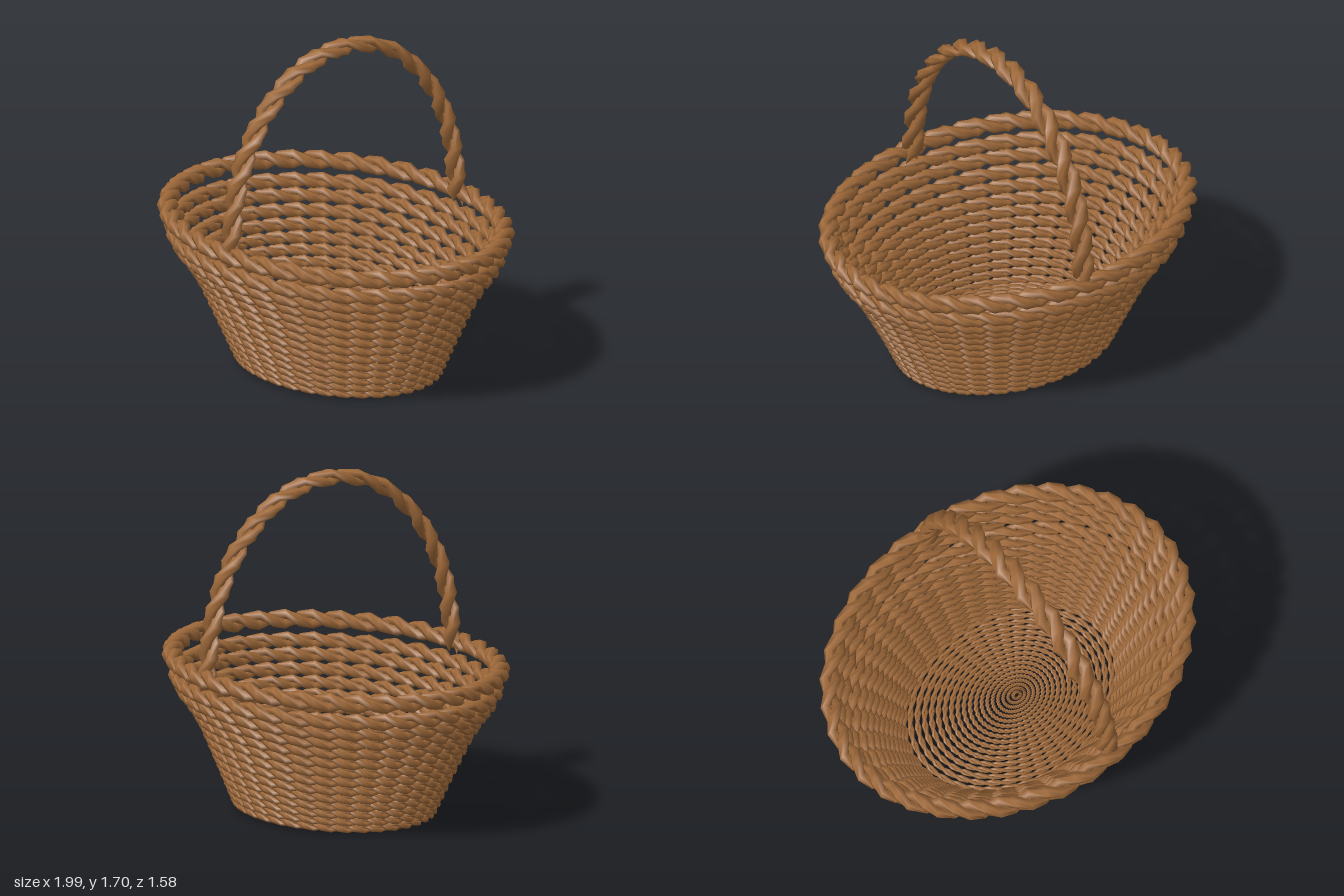
import * as THREE from 'three';
import { mergeGeometries } from 'three/addons/utils/BufferGeometryUtils.js';

const wicker = new THREE.MeshStandardMaterial({ color: 0xa06a3a });
const SIDES = 6;

// One flattened strand winding around a path.
// frame(t) gives the path point p, outward n and sideways b; hn, hb are the rope's half sizes.
function strand(frame, twists, steps, phase, hn, hb, closed) {
  const pos = [], index = [];
  const rows = closed ? steps : steps + 1;
  for (let i = 0; i < rows; i++) {
    const t = i / steps;
    const { p, n, b } = frame(t);
    const a = phase + t * twists * Math.PI * 2;
    const c = Math.cos(a), s = Math.sin(a);
    const end = !closed && (i === 0 || i === steps) ? 0.02 : 1;
    for (let j = 0; j < SIDES; j++) {
      const q = (j / SIDES) * Math.PI * 2;
      const out = 0.52 + 0.48 * Math.cos(q) * end;   // along the winding radius
      const along = 0.68 * Math.sin(q) * end;        // across it
      const u = (out * c - along * s) * hn, v = (out * s + along * c) * hb;
      pos.push(p.x + n.x * u + b.x * v, p.y + n.y * u + b.y * v, p.z + n.z * u + b.z * v);
    }
  }
  for (let i = 0; i < steps; i++) {
    const k = (i + 1) % rows;
    for (let j = 0; j < SIDES; j++) {
      const l = (j + 1) % SIDES;
      const A = i * SIDES + j, B = i * SIDES + l, C = k * SIDES + j, D = k * SIDES + l;
      index.push(A, B, C, B, D, C);
    }
  }
  const g = new THREE.BufferGeometry();
  g.setAttribute('position', new THREE.Float32BufferAttribute(pos, 3));
  g.setIndex(index);
  g.computeVertexNormals();
  return g;
}

// Two strands twisted together
function rope(name, frame, twists, steps, hn, hb, closed) {
  const parts = [0, Math.PI].map(ph => strand(frame, twists, steps, ph + Math.PI / 2, hn, hb, closed));
  const mesh = new THREE.Mesh(mergeGeometries(parts), wicker);
  mesh.name = name;
  return mesh;
}

// Oval rope ring lying level
function ring(name, cx, y, rx, rz, hn, hb) {
  const up = new THREE.Vector3(0, 1, 0);
  const frame = t => {
    const a = t * Math.PI * 2, c = Math.cos(a), s = Math.sin(a);
    return {
      p: new THREE.Vector3(cx + rx * c, y, rz * s),
      n: new THREE.Vector3(c / rx, 0, s / rz).normalize(),
      b: up,
    };
  };
  return rope(name, frame, 18, 18 * 4, hn, hb, true);
}

// Outer wall outline: height, half width, half depth
const outline = [
  [0, 0.58, 0.455], [0.2, 0.68, 0.535], [0.4, 0.79, 0.615],
  [0.5, 0.85, 0.67], [0.6, 0.93, 0.745], [0.7, 0.98, 0.785],
];
function wallAt(y) {
  let i = 0;
  while (i < outline.length - 2 && y > outline[i + 1][0]) i++;
  const [a, b] = [outline[i], outline[i + 1]];
  const f = (y - a[0]) / (b[0] - a[0]);
  return [a[1] + (b[1] - a[1]) * f, a[2] + (b[2] - a[2]) * f];
}

export function createModel() {
  const basket = new THREE.Group();
  basket.name = 'basket';

  // Woven floor: rings that widen outwards
  const floor = new THREE.Group();
  floor.name = 'floor';
  const count = 18;
  for (let i = 0; i < count; i++) {
    const f = i / (count - 1);
    const r = 0.02 + 0.4 * f + 0.115 * f * f;
    const half = 0.0095 + 0.008 * f;
    floor.add(ring('floorRing', 0.055 - 0.035 * f, 0.02, r, r * 0.79, half, half * 0.85));
  }
  basket.add(floor);

  // Woven wall: rows that thicken towards the top
  const wall = new THREE.Group();
  wall.name = 'wall';
  const rows = 13;
  for (let i = 0; i < rows; i++) {
    const f = i / (rows - 1);
    const y = 0.035 + 0.45 * f + 0.165 * f * f;
    const half = 0.024 + 0.02 * f;
    const [rx, rz] = wallAt(y);
    wall.add(ring('wallRow', 0.018 * (1 - f), y, rx - half, rz - half, half * 1.05, half));
  }
  basket.add(wall);

  // Thick rim
  basket.add(ring('rim', 0, 0.75, 0.945, 0.74, 0.054, 0.05));

  // Arched handle from front to back
  const half = [[0.71, 0.69], [0.695, 0.85], [0.665, 1.05], [0.59, 1.26], [0.45, 1.46], [0.25, 1.61]];
  const points = [
    ...half, [0, 1.665], ...half.slice().reverse().map(([z, y]) => [-z, y]),
  ].map(([z, y]) => new THREE.Vector3(0.06, y, z));
  const arch = new THREE.CatmullRomCurve3(points);
  const side = new THREE.Vector3(1, 0, 0);
  const frame = t => ({
    p: arch.getPointAt(t),
    n: new THREE.Vector3().crossVectors(side, arch.getTangentAt(t)).normalize(),
    b: side,
  });
  basket.add(rope('handle', frame, 8.5, 34, 0.043, 0.068, false));

  return basket;
}
